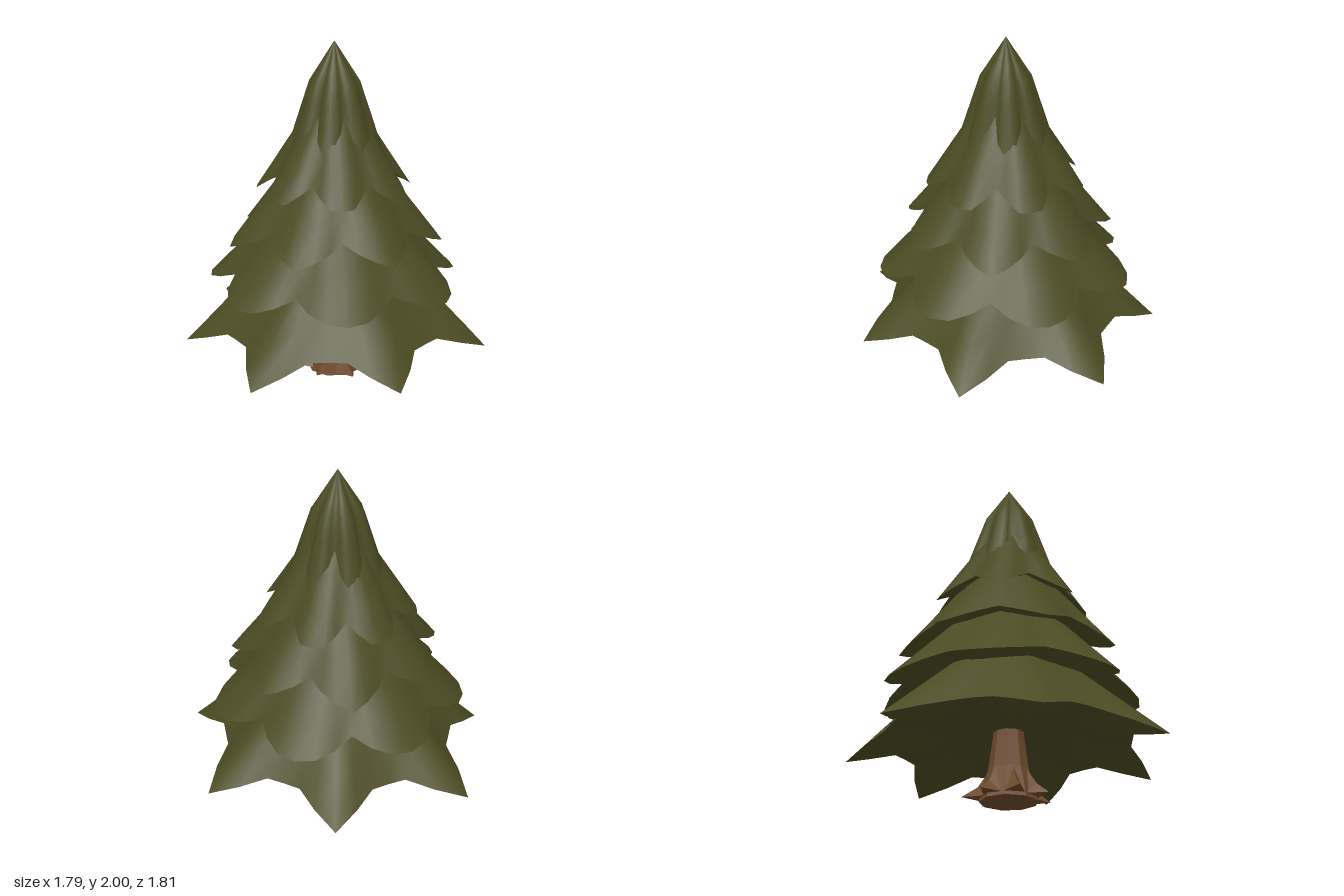
import * as THREE from 'three';

const LOBES = 7, STEP = 6, N = LOBES * STEP;
const lerp = THREE.MathUtils.lerp;

// Skin a list of closed rings (arrays of [x, y, z]) with smooth normals
function skin(rings) {
  const n = rings[0].length, index = [];
  for (let i = 0; i < rings.length - 1; i++) {
    for (let j = 0; j < n; j++) {
      const k = (j + 1) % n, a = i * n + j, b = i * n + k, c = a + n, d = b + n;
      index.push(a, c, b, b, c, d);
    }
  }
  const g = new THREE.BufferGeometry();
  g.setAttribute('position', new THREE.Float32BufferAttribute(rings.flat(2), 3));
  g.setIndex(index);
  g.computeVertexNormals();
  return g;
}

// One skirt of drooping boughs.
// tip / valley: [radius, height] of the hem; shape: hem from bough centre to valley;
// spine: [radius, height, groove depth] of the rings above the hem
function tier({ turn, tip, valley, shape, spine, reach }) {
  const weight = [], angle = [], hem = [];
  for (let j = 0; j < N; j++) {
    const lobe = Math.floor((j + STEP / 2) / STEP) % LOBES;
    const k = Math.abs(((j + STEP / 2) % STEP) - STEP / 2);
    const w = shape[k];
    weight.push(w);
    angle.push(THREE.MathUtils.degToRad(turn) + (j / N) * Math.PI * 2);
    const tipR = reach ? reach[lobe] : tip[0];
    hem.push([lerp(valley[0], tipR, w), lerp(valley[1], tip[1], w)]);
  }
  const place = (rule) => hem.map((h, j) => {
    const [r, y] = rule(h, weight[j]);
    return [Math.cos(angle[j]) * r, y, Math.sin(angle[j]) * r];
  });

  const outer = [place((h) => h)];
  let from = (h) => h;
  for (const [r, y, groove] of spine) {
    const start = from;
    const end = (h, w) => [r * (1 - groove * (1 - w)), y];
    for (const f of [0.33, 0.67, 1]) {
      outer.push(place((h, w) => {
        const a = start(h, w), b = end(h, w);
        return [lerp(a[0], b[0], f), lerp(a[1], b[1], f)];
      }));
    }
    from = end;
  }

  // underside, from the trunk out to the hem
  const roof = valley[1] + 0.05;
  const under = [0, 0.5, 0.93, 1].map((f) =>
    place((h) => [lerp(0.05, h[0], f), lerp(roof, h[1], f * f)]));
  return [skin(outer), skin(under)];
}

// Splayed root: a ridged spike running down from the trunk to the ground
function rootGeometry(len) {
  const top = [0.1, 0.19, 0], mid = [0.17, 0.085, 0], tip = [len, 0.03, 0];
  const left = [0.135, 0.02, 0.065], right = [0.135, 0.02, -0.065];
  const faces = [
    top, left, mid, mid, left, tip,
    top, mid, right, mid, tip, right,
    left, right, tip,
  ];
  const g = new THREE.BufferGeometry();
  g.setAttribute('position', new THREE.Float32BufferAttribute(faces.flat(), 3));
  g.computeVertexNormals();
  return g;
}

export function createModel() {
  const needles = new THREE.MeshStandardMaterial({ color: 0x4b4b24, side: THREE.DoubleSide });
  needles.name = 'needleGreen';
  const bark = new THREE.MeshStandardMaterial({ color: 0x6e4a2e, flatShading: true, side: THREE.DoubleSide });
  bark.name = 'barkBrown';

  const model = new THREE.Group();
  model.name = 'pineTree';
  const tree = new THREE.Group();
  tree.name = 'tree';
  tree.position.set(-0.03, 0, -0.02);
  model.add(tree);

  const add = (parent, name, geometry, material) => {
    const mesh = new THREE.Mesh(geometry, material);
    mesh.name = name;
    parent.add(mesh);
    return mesh;
  };

  // Foliage, bottom to top
  const tiers = [
    { turn: -0.6, tip: [0.93, 0.24], valley: [0.69, 0.35], shape: [1, 0.48, 0.03, 0],
      reach: [0.92, 0.91, 0.945, 0.895, 0.966, 0.91, 0.94], spine: [[0.3, 0.82, 0]] },
    { turn: 17, tip: [0.755, 0.585], valley: [0.61, 0.67], shape: [1, 0.88, 0.5, 0],
      spine: [[0.29, 1.07, 0]] },
    { turn: -8.9, tip: [0.635, 0.845], valley: [0.48, 0.96], shape: [1, 0.72, 0.38, 0],
      spine: [[0.21, 1.37, 0]] },
    { turn: 17, tip: [0.46, 1.14], valley: [0.35, 1.24], shape: [1, 0.95, 0.45, 0],
      spine: [[0.12, 1.66, 0]] },
    { turn: -21.8, tip: [0.265, 1.415], valley: [0.175, 1.545], shape: [1, 1, 0.6, 0],
      spine: [[0.147, 1.77, 0.18], [0, 2, 0]] },
  ];
  tiers.forEach((spec, i) => {
    const group = new THREE.Group();
    group.name = `foliageTier${i + 1}`;
    const [outer, under] = tier(spec);
    add(group, 'boughs', outer, needles);
    add(group, 'underside', under, needles);
    tree.add(group);
  });

  // Trunk, flared at the foot
  const profile = [[0, 0], [0.165, 0], [0.145, 0.08], [0.115, 0.18], [0.09, 0.36], [0.08, 0.5], [0, 0.5]]
    .map(([r, y]) => new THREE.Vector2(r, y));
  add(tree, 'trunk', new THREE.LatheGeometry(profile, 9), bark);

  // Roots
  for (let i = 0; i < LOBES; i++) {
    const root = add(tree, 'root', rootGeometry(i % 2 ? 0.24 : 0.26), bark);
    root.rotation.y = (i / LOBES) * Math.PI * 2 + 0.05;
  }
  return model;
}
